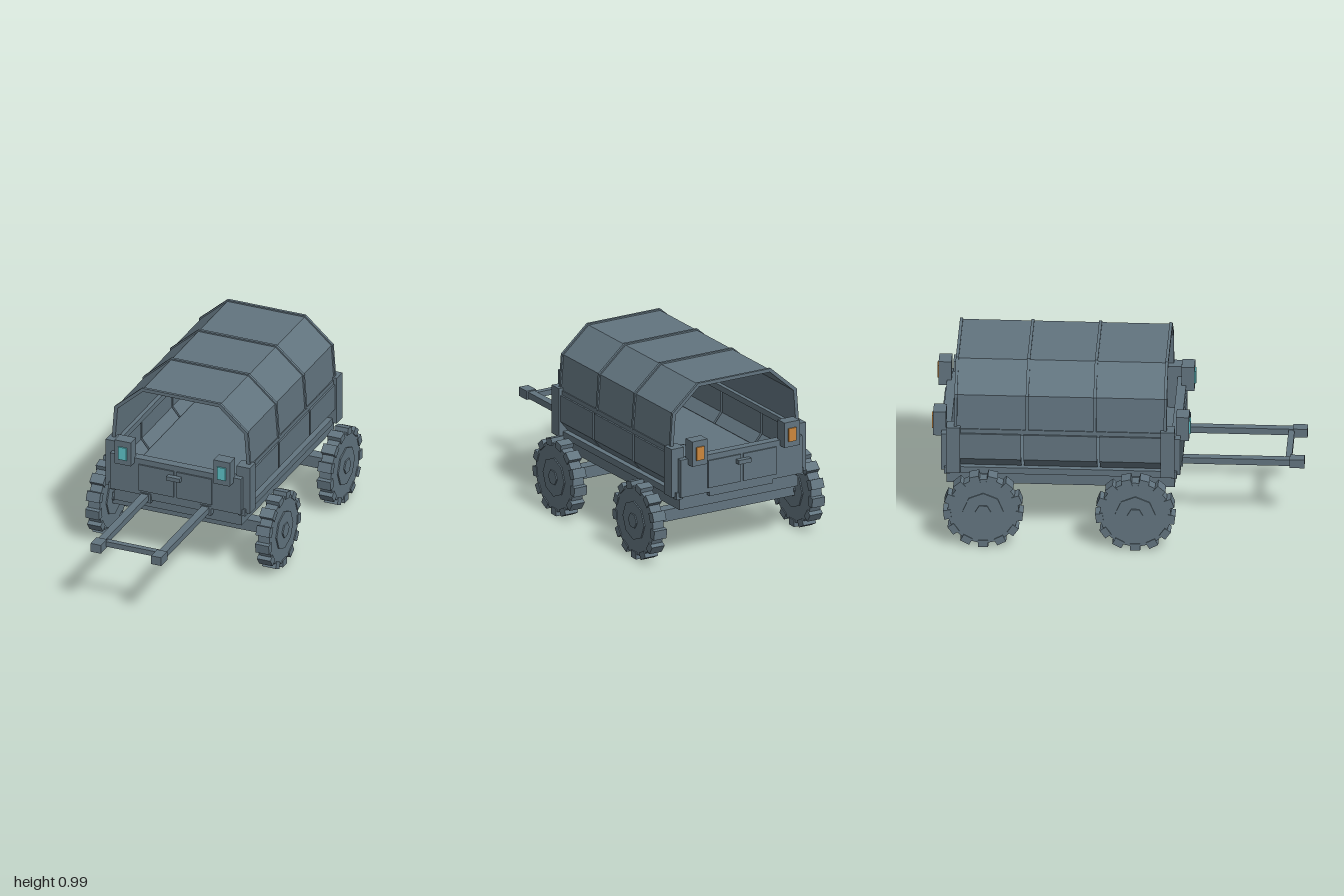
import * as THREE from 'three';

const paint = new THREE.MeshStandardMaterial({ color: 0x62747f, flatShading: true, side: THREE.DoubleSide });
paint.name = 'blue grey paint';
const teal = new THREE.MeshStandardMaterial({ color: 0x5fc3c8 });
teal.name = 'teal glass';
const amber = new THREE.MeshStandardMaterial({ color: 0xcc873c });
amber.name = 'amber glass';

const MID = -0.305; // middle of the wagon body along z

function add(parent, name, geo, mat = paint) {
  const m = new THREE.Mesh(geo, mat);
  m.name = name;
  parent.add(m);
  return m;
}

// Box given by its extents on each axis
function box(parent, name, [x0, x1], [y0, y1], [z0, z1], mat) {
  const m = add(parent, name, new THREE.BoxGeometry(x1 - x0, y1 - y0, z1 - z0), mat);
  m.position.set((x0 + x1) / 2, (y0 + y1) / 2, (z0 + z1) / 2);
  return m;
}

function extrude(points, z0, z1) {
  const shape = new THREE.Shape(points.map(([x, y]) => new THREE.Vector2(x, y)));
  const geo = new THREE.ExtrudeGeometry(shape, { depth: z1 - z0, bevelEnabled: false });
  return geo.translate(0, 0, z0);
}

// Arch outline: outer line there, inner line back
function arch(t, grow = 0) {
  const line = (d) => [
    [0.40 + d, 0.64], [0.385 + d, 0.842 + d * 0.4],
    [0.227 + d * 0.3, 0.982 + d], [-0.227 - d * 0.3, 0.982 + d],
    [-0.385 - d, 0.842 + d * 0.4], [-0.40 - d, 0.64],
  ];
  return [...line(grow), ...line(grow - t).reverse()];
}

function makeWheel() {
  const wheel = new THREE.Group();
  wheel.name = 'wheel';
  const disc = (name, r, w, sides) => {
    add(wheel, name, new THREE.CylinderGeometry(r, r, w, sides)).rotation.z = Math.PI / 2;
  };
  disc('tyre', 0.193, 0.068, 26);
  disc('rim', 0.11, 0.082, 8);
  disc('hub', 0.043, 0.096, 6);
  // Tread lugs, one pointing straight down
  const lugs = 13;
  for (let i = 0; i < lugs; i++) {
    const a = (i / lugs) * Math.PI * 2;
    const lug = add(wheel, 'treadLug', new THREE.BoxGeometry(0.08, 0.04, 0.054));
    lug.position.set(0, -0.195 * Math.cos(a), 0.195 * Math.sin(a));
    lug.rotation.x = -a;
  }
  return wheel;
}

// End wall with doors, handle, corner posts and lamps, facing +z from z = 0
function makeEnd(glass) {
  const end = new THREE.Group();
  end.name = 'endWall';
  box(end, 'endPanel', [-0.385, 0.385], [0.385, 0.60], [-0.02, 0.03]);
  box(end, 'sill', [-0.2, 0.2], [0.36, 0.385], [-0.02, 0.025]);
  box(end, 'handle', [-0.04, 0.04], [0.522, 0.545], [0.035, 0.066]);
  box(end, 'handleStem', [-0.012, 0.012], [0.526, 0.541], [0.02, 0.05]);
  for (const s of [-1, 1]) {
    const side = (a, b) => (s > 0 ? [a, b] : [-b, -a]);
    box(end, 'door', side(0.008, 0.216), [0.412, 0.568], [0.02, 0.038]);
    box(end, 'cornerPost', side(0.345, 0.425), [0.385, 0.66], [-0.075, 0]);
    box(end, 'cornerFoot', side(0.36, 0.402), [0.37, 0.41], [-0.02, 0.012]);
    box(end, 'lampHousing', side(0.243, 0.34), [0.568, 0.71], [0.005, 0.075]);
    box(end, 'lampGlass', side(0.267, 0.316), [0.60, 0.675], [0.074, 0.083], glass);
  }
  return end;
}

export function createModel() {
  const model = new THREE.Group();
  model.name = 'coveredWagon';

  // Chassis and floor
  box(model, 'chassis', [-0.375, 0.375], [0.305, 0.38], [-0.92, 0.31]);
  box(model, 'floor', [-0.4, 0.4], [0.375, 0.412], [-0.92, 0.31]);

  // End walls
  const front = makeEnd(teal);
  front.position.z = 0.31;
  const back = makeEnd(amber);
  back.rotation.y = Math.PI;
  back.position.z = -0.92;
  model.add(front, back);

  // Side walls: three bent panels a side with open gaps between
  const wall = [[0.365, 0.408], [0.415, 0.47], [0.415, 0.62], [0.395, 0.62], [0.395, 0.476], [0.35, 0.42]];
  const spans = [[-0.86, -0.517], [-0.503, -0.107], [-0.093, 0.25]];
  for (const s of [-1, 1]) {
    const outline = wall.map(([x, y]) => [x * s, y]);
    for (const [z0, z1] of spans) add(model, 'sidePanel', extrude(outline, z0, z1));
    box(model, 'topRail', s > 0 ? [0.365, 0.405] : [-0.405, -0.365], [0.612, 0.645], [-0.86, 0.25]);
  }

  // Canopy panels and ribs
  add(model, 'canopy', extrude(arch(0.012), -0.87, 0.26));
  for (const z of [0.26, -0.12, -0.485, -0.87]) {
    add(model, 'canopyRib', extrude(arch(0.02, 0.008), z - 0.008, z + 0.008));
  }

  // Sack resting on the floor
  const sack = add(model, 'sack', new THREE.SphereGeometry(0.13, 8, 6));
  sack.scale.set(1, 0.85, 1);
  sack.position.set(0.17, 0.45, -0.66);

  // Axles and wheels
  for (const z of [0.105, -0.715]) {
    box(model, 'axle', [-0.5, 0.5], [0.184, 0.25], [z - 0.034, z + 0.034]);
    for (const x of [-0.5, 0.5]) {
      const wheel = makeWheel();
      wheel.position.set(x, 0.215, z);
      model.add(wheel);
    }
  }

  // Drawbar
  for (const s of [-1, 1]) {
    const side = (a, b) => (s > 0 ? [a, b] : [-b, -a]);
    box(model, 'shaft', side(0.157, 0.2), [0.358, 0.394], [0.29, 0.95]);
    box(model, 'shaftBracket', side(0.145, 0.21), [0.345, 0.4], [0.29, 0.345]);
    box(model, 'shaftGrip', side(0.148, 0.208), [0.35, 0.4], [0.92, 1]);
  }
  box(model, 'crossbar', [-0.16, 0.16], [0.36, 0.39], [0.897, 0.93]);

  return model;
}
